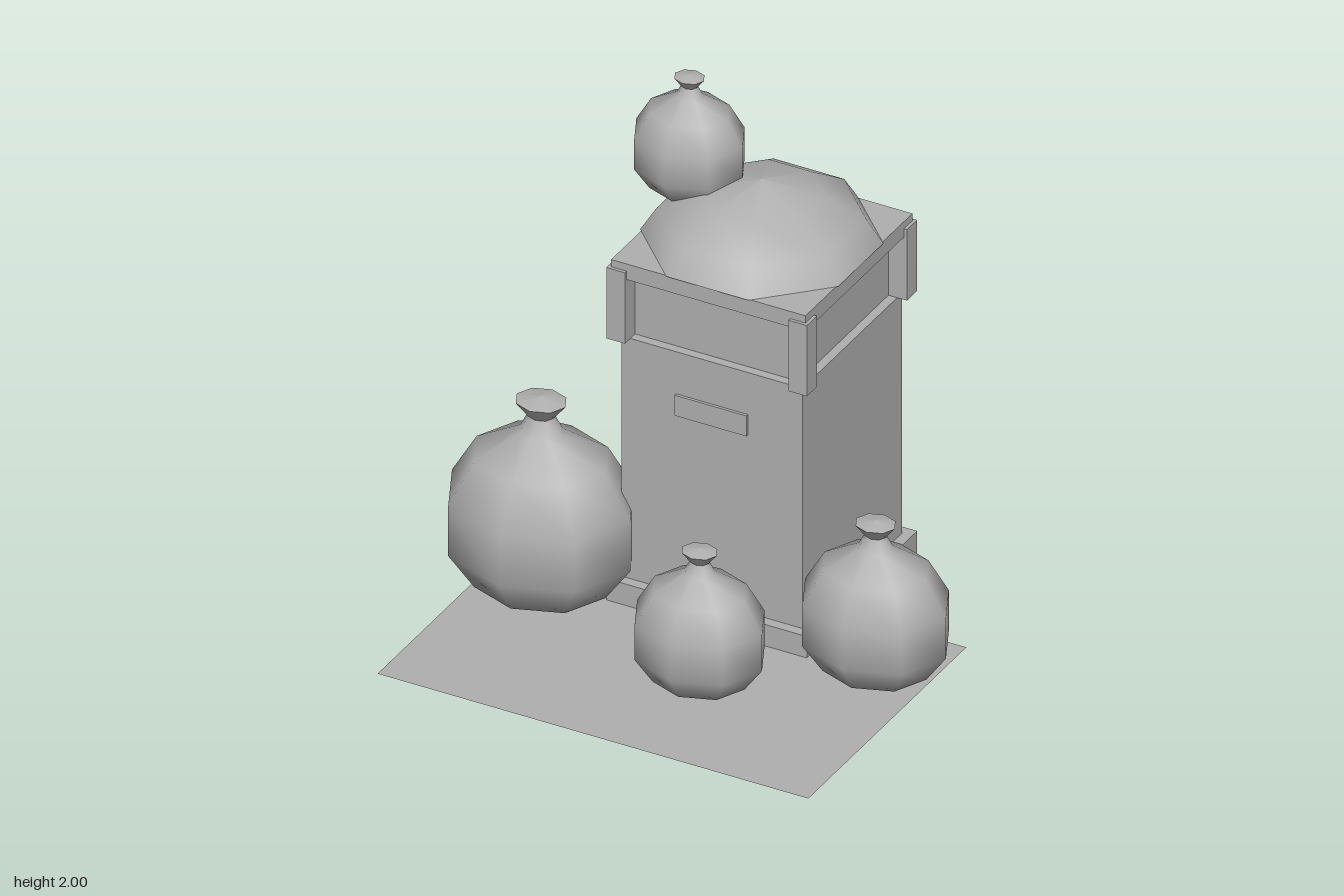
import * as THREE from 'three';

const grey = new THREE.MeshStandardMaterial({ color: 0xb0b0b0 });
grey.name = 'plain grey';
const greySheet = new THREE.MeshStandardMaterial({ color: 0xb0b0b0, side: THREE.DoubleSide });
greySheet.name = 'plain grey sheet';

const CX = 0.035, CZ = -0.41; // centre of the bin

function add(parent, name, geometry, x = 0, y = 0, z = 0, material = grey) {
  const mesh = new THREE.Mesh(geometry, material);
  mesh.name = name;
  mesh.position.set(x, y, z);
  parent.add(mesh);
  return mesh;
}

// Square block centred on the bin axis, from y0 to y1
function block(parent, name, width, y0, y1) {
  return add(parent, name, new THREE.BoxGeometry(width, y1 - y0, width), CX, (y0 + y1) / 2, CZ);
}

// Eight-sided turned shape from [radius, height] pairs, bottom to top
function turned(points, phi = 0) {
  return new THREE.LatheGeometry(points.map(([r, y]) => new THREE.Vector2(r, y)), 8, phi);
}

function makeBin() {
  const bin = new THREE.Group();
  bin.name = 'bin';
  block(bin, 'base', 0.81, 0, 0.09);
  block(bin, 'body', 0.73, 0.09, 1.09);
  block(bin, 'recessedPanels', 0.66, 1.09, 1.35);
  block(bin, 'lid', 0.785, 1.35, 1.415);

  // Corner posts under the lid
  for (const sx of [-1, 1]) {
    for (const sz of [-1, 1]) {
      add(bin, 'cornerPost', new THREE.BoxGeometry(0.075, 0.295, 0.075),
        CX + sx * 0.3675, 1.2375, CZ + sz * 0.3675);
    }
  }

  // Plate on the front
  add(bin, 'frontPlate', new THREE.BoxGeometry(0.29, 0.085, 0.012), CX, 0.8725, CZ + 0.37);

  // Overflowing heap, flats facing the sides
  const k = 1 / Math.cos(Math.PI / 8);
  const heap = [[0.4, 1.416], [0.345, 1.51], [0.205, 1.6], [0, 1.655]].map(([r, y]) => [r * k, y]);
  add(bin, 'heap', turned(heap, Math.PI / 8), CX, 0, CZ);
  return bin;
}

function makeBag(x, y, z, size) {
  const bag = new THREE.Group();
  bag.name = 'rubbishBag';
  add(bag, 'sack', turned([
    [0, 0.005], [0.26, 0.025], [0.36, 0.165], [0.36, 0.375],
    [0.26, 0.545], [0.085, 0.645], [0.05, 0.71],
  ]));
  // Tied end, split from the sack for a sharp edge
  add(bag, 'tiedEnd', turned([[0.05, 0.71], [0.098, 0.77]]));
  add(bag, 'tiedTop', turned([[0.098, 0.77], [0, 0.79]]));
  bag.position.set(x, y, z);
  bag.scale.set(size, size, size * 0.86);
  return bag;
}

export function createModel() {
  const model = new THREE.Group();
  model.name = 'binWithBags';

  // Ground sheet
  const sheet = new THREE.PlaneGeometry(1.74, 1.16).rotateX(-Math.PI / 2);
  add(model, 'groundSheet', sheet, 0.03, 0.001, 0.24, greySheet);

  model.add(makeBin());
  for (const [x, y, z, size] of [
    [-0.62, 0, 0.02, 1],
    [0.69, 0, -0.055, 0.79],
    [0.18, 0, 0.31, 0.7],
    [-0.26, 1.53, -0.415, 0.595],
  ]) model.add(makeBag(x, y, z, size));
  return model;
}
